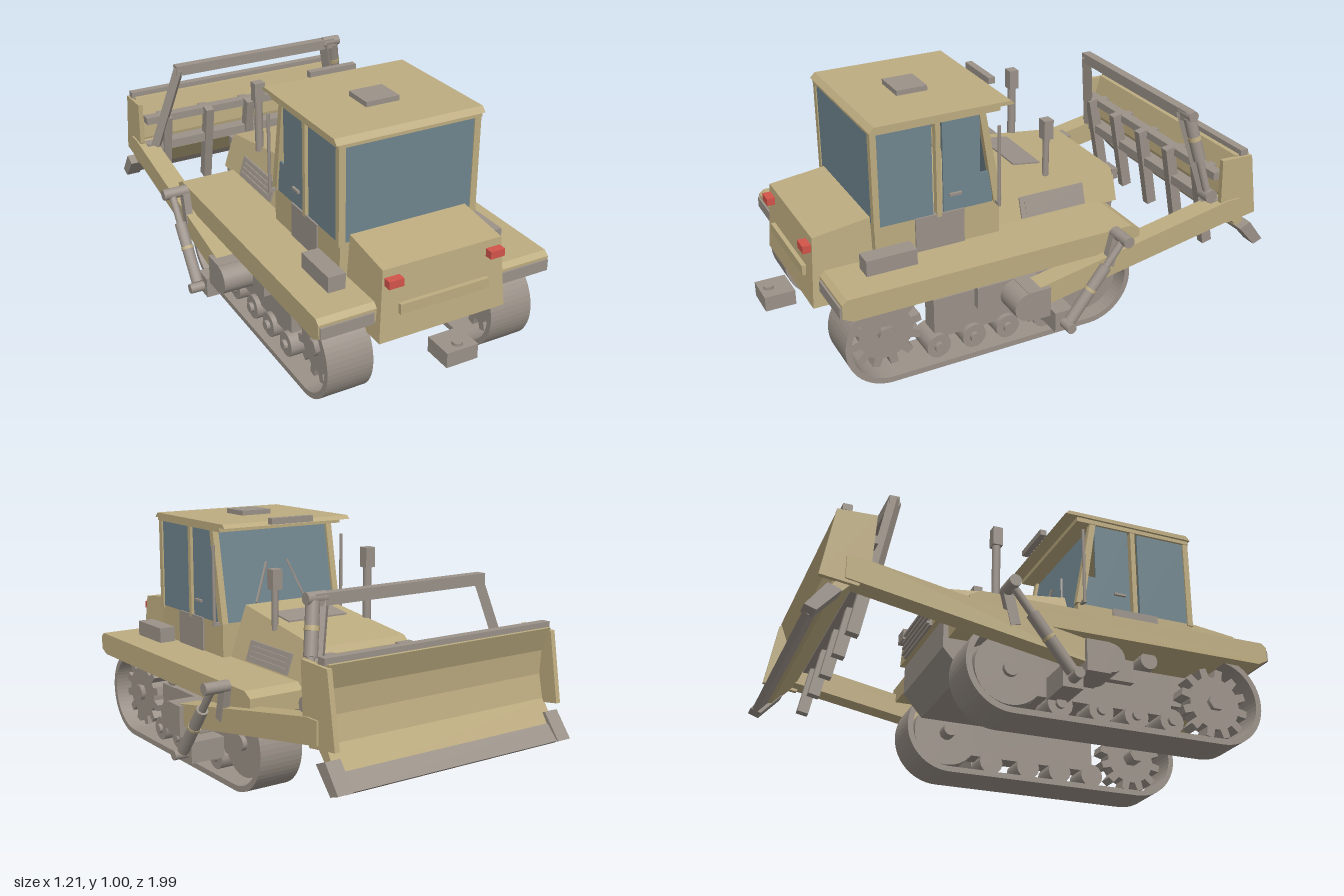
import * as THREE from 'three';

const mat = (name, color) => Object.assign(new THREE.MeshStandardMaterial({ color }), { name });

export function createModel() {
  const model = new THREE.Group();
  model.name = 'bulldozer';
  const tan = mat('tan paint', 0xbdac80), grey = mat('grey steel', 0x9b9289);
  const glass = mat('blue glass', 0x70858e), red = mat('red lamp', 0xd2544a);
  glass.side = THREE.DoubleSide;
  const V = (p) => new THREE.Vector3(...p);

  const add = (name, geo, m) => {
    const mesh = new THREE.Mesh(geo, m);
    mesh.name = name;
    model.add(mesh);
    return mesh;
  };
  // box given by its min and max on each axis
  const box = (name, m, x0, x1, y0, y1, z0, z1) =>
    add(name, new THREE.BoxGeometry(Math.abs(x1 - x0), y1 - y0, Math.abs(z1 - z0))
      .translate((x0 + x1) / 2, (y0 + y1) / 2, (z0 + z1) / 2), m);
  // side outline of [z, y] points (or a Shape) extruded across x
  const sideGeo = (outline, x0, x1) => {
    const shape = Array.isArray(outline) ? new THREE.Shape(outline.map((p) => new THREE.Vector2(...p))) : outline;
    const a = Math.min(x0, x1), b = Math.max(x0, x1);
    return new THREE.ExtrudeGeometry(shape, { depth: b - a, bevelEnabled: false, curveSegments: 14 })
      .rotateY(-Math.PI / 2).translate(b, 0, 0);
  };
  const side = (name, m, outline, x0, x1) => add(name, sideGeo(outline, x0, x1), m);
  // side outline whose half width runs from wLow at yLow to wHigh at yHigh
  const tapered = (name, m, outline, yLow, wLow, yHigh, wHigh) => {
    const geo = sideGeo(outline, -1, 1), p = geo.attributes.position;
    for (let i = 0; i < p.count; i++) {
      const t = (p.getY(i) - yLow) / (yHigh - yLow);
      p.setX(i, p.getX(i) * (wLow + (wHigh - wLow) * t));
    }
    geo.computeVertexNormals();
    return add(name, geo, m);
  };
  // square bar or round rod between two points
  const bar = (name, m, a, b, w, h = w) => {
    const A = V(a), B = V(b);
    const mesh = add(name, new THREE.BoxGeometry(w, h, A.distanceTo(B)), m);
    mesh.position.copy(A).lerp(B, 0.5);
    mesh.lookAt(B);
    return mesh;
  };
  const rod = (name, m, a, b, r, n = 12) => {
    const A = V(a), B = V(b);
    const mesh = add(name, new THREE.CylinderGeometry(r, r, A.distanceTo(B), n), m);
    mesh.position.copy(A).lerp(B, 0.5);
    mesh.quaternion.setFromUnitVectors(new THREE.Vector3(0, 1, 0), B.sub(A).normalize());
    return mesh;
  };
  const wheel = (name, m, x0, x1, y, z, r, n = 20) => rod(name, m, [x0, y, z], [x1, y, z], r, n);
  const both = (fn) => [-1, 1].forEach(fn);

  // belly, engine hood and rear body
  side('bellyHull', grey, [[0.6, 0.21], [0.62, 0.43], [-0.42, 0.43], [-0.42, 0.3], [-0.34, 0.21]], -0.25, 0.25);
  tapered('hood', tan, [[0.12, 0.42], [0.11, 0.64], [-0.42, 0.565], [-0.44, 0.54], [-0.44, 0.42]], 0.43, 0.25, 0.6, 0.195);
  tapered('sideGrille', grey, [[0, 0.44], [0, 0.52], [-0.29, 0.52], [-0.29, 0.44]], 0.43, 0.257, 0.6, 0.202);
  for (let i = 0; i < 3; i++) {
    const y = 0.455 + i * 0.02;
    tapered('sideLouver', grey, [[-0.02, y], [-0.02, y + 0.008], [-0.27, y + 0.008], [-0.27, y]], 0.43, 0.262, 0.6, 0.207);
  }
  side('hoodVent', grey, [[-0.02, 0.615], [-0.02, 0.628], [-0.14, 0.611], [-0.14, 0.598]], -0.14, 0.14);
  box('noseGrille', grey, -0.17, 0.17, 0.42, 0.53, -0.45, -0.44);
  for (let i = 0; i < 4; i++) box('noseSlat', grey, -0.165, 0.165, 0.43 + i * 0.026, 0.44 + i * 0.026, -0.46, -0.45);
  both((s) => box('headlamp', grey, s * 0.15, s * 0.22, 0.5, 0.545, -0.462, -0.435));
  tapered('rearBody', tan, [[0.6, 0.29], [0.875, 0.29], [0.855, 0.57], [0.62, 0.6]], 0.29, 0.265, 0.59, 0.245);
  box('rearPanel', tan, -0.185, 0.185, 0.39, 0.43, 0.86, 0.882);
  both((s) => box('tailLamp', red, s * 0.18, s * 0.24, 0.51, 0.54, 0.85, 0.89));
  box('hitch', grey, -0.065, 0.065, 0.2, 0.26, 0.88, 1);
  rod('hitchPin', grey, [0, 0.19, 0.965], [0, 0.272, 0.965], 0.02);
  box('drawbarMount', grey, -0.22, 0.22, 0.21, 0.275, 0.58, 0.66);

  // exhaust and intake stacks
  [[-0.2, -0.195, 0.88, 0.017], [0.2, -0.132, 0.82, 0.013]].forEach(([x, z, top, r]) => {
    rod('stack', grey, [x, 0.58, z], [x, top, z], r);
    box('stackCap', grey, x - 0.022, x + 0.022, top - 0.08, top, z - 0.02, z + 0.02);
  });

  // cab
  box('cabBase', tan, -0.285, 0.285, 0.42, 0.57, 0.12, 0.63);
  box('roof', tan, -0.295, 0.295, 0.94, 0.96, 0.12, 0.635);
  side('roofCap', tan, [[0.64, 0.955], [0.62, 0.975], [0.08, 0.975], [0.065, 0.96]], -0.305, 0.305);
  box('roofHatch', grey, -0.07, 0.07, 0.97, 0.995, 0.31, 0.435);
  box('roofLightBar', grey, -0.1, 0.1, 0.965, 0.99, 0.04, 0.068);
  box('rearWindow', glass, -0.27, 0.27, 0.57, 0.94, 0.622, 0.63);
  side('windshield', glass, [[0.128, 0.57], [0.2, 0.945], [0.192, 0.945], [0.12, 0.57]], -0.265, 0.265);
  both((s) => {
    const a = s * 0.265, b = s * 0.292;
    box('rearPillar', tan, a, b, 0.56, 0.95, 0.61, 0.634);
    box('middlePillar', tan, a, b, 0.56, 0.95, 0.362, 0.382);
    side('frontPillar', tan, [[0.11, 0.57], [0.18, 0.95], [0.205, 0.95], [0.145, 0.57]], a, b);
    box('rearSideWindow', glass, s * 0.277, s * 0.285, 0.57, 0.94, 0.395, 0.612);
    box('doorWindow', glass, s * 0.277, s * 0.285, 0.57, 0.94, 0.2, 0.352);
    box('doorLower', glass, s * 0.277, s * 0.285, 0.57, 0.7, 0.15, 0.2);
    box('doorHandle', grey, s * 0.285, s * 0.295, 0.635, 0.645, 0.28, 0.33);
    box('cabStep', grey, s * 0.2, s * 0.292, 0.43, 0.572, 0.27, 0.47);
    rod('mirrorPole', grey, [s * 0.315, 0.56, 0.135], [s * 0.315, 0.89, 0.135], 0.007, 8);
    bar('mirrorBracket', grey, [s * 0.27, 0.57, 0.135], [s * 0.32, 0.57, 0.135], 0.012);
    bar('wiper', grey, [s * 0.12, 0.64, 0.125], [s * 0.05, 0.8, 0.158], 0.008);
  });

  both((s) => {
    // fender
    side('fender', tan, [[0.84, 0.36], [0.84, 0.415], [0.82, 0.432], [-0.36, 0.432], [-0.4, 0.41], [-0.4, 0.34], [0.8, 0.34]], s * 0.22, s * 0.485);
    box('rearGuard', grey, s * 0.27, s * 0.48, 0.36, 0.405, 0.83, 0.848);
    box('toolBox', grey, s * 0.3, s * 0.37, 0.43, 0.495, 0.5, 0.7);

    // track loop, an oval band
    const oval = (path, r) => {
      path.absarc(0.64, 0.183, r, -Math.PI / 2, Math.PI / 2, false);
      path.absarc(-0.212, 0.183, r, Math.PI / 2, Math.PI * 1.5, false);
      path.closePath();
      return path;
    };
    const band = oval(new THREE.Shape(), 0.183);
    band.holes.push(oval(new THREE.Path(), 0.16));
    side('track', grey, band, s * 0.255, s * 0.44);

    // drive sprocket
    const gear = [];
    for (let i = 0; i < 12; i++) {
      [[0, 0.108], [0.3, 0.108], [0.4, 0.145], [0.8, 0.145], [0.9, 0.108]].forEach(([f, r]) => {
        const t = ((i + f) / 12) * Math.PI * 2;
        gear.push([0.645 + r * Math.cos(t), 0.187 + r * Math.sin(t)]);
      });
    }
    side('sprocket', grey, gear, s * 0.32, s * 0.39);
    wheel('sprocketHub', grey, s * 0.25, s * 0.41, 0.187, 0.645, 0.035, 6);
    // idler, rollers and their frame
    wheel('idler', grey, s * 0.31, s * 0.4, 0.183, -0.212, 0.137, 28);
    wheel('idlerHub', grey, s * 0.25, s * 0.42, 0.183, -0.212, 0.03);
    [0.44, 0.29, 0.145, -0.02].forEach((z) => {
      wheel('roadRoller', grey, s * 0.29, s * 0.41, 0.075, z, 0.05, 14);
      wheel('rollerHub', grey, s * 0.41, s * 0.425, 0.075, z, 0.02);
    });
    [0.36, 0.07].forEach((z) => wheel('topRoller', grey, s * 0.25, s * 0.4, 0.315, z, 0.036, 14));
    box('trackFrame', grey, s * 0.31, s * 0.39, 0.1, 0.27, -0.1, 0.45);
    box('frameCover', grey, s * 0.31, s * 0.42, 0.2, 0.29, 0.03, 0.28);

    // push arm with pivot and tilt cylinder
    side('pushArm', tan, [[0.12, 0.19], [0.12, 0.28], [-0.8, 0.45], [-0.86, 0.45], [-0.86, 0.365]], s * 0.44, s * 0.522);
    wheel('armPivot', grey, s * 0.38, s * 0.54, 0.23, 0.125, 0.058);
    box('pivotBracket', grey, s * 0.38, s * 0.54, 0.165, 0.29, 0.03, 0.125);
    box('cylinderMount', grey, s * 0.4, s * 0.545, 0.085, 0.17, -0.07, 0.01);
    const x = s * 0.565, lo = [x, 0.12, -0.03], hi = [x, 0.435, -0.272];
    const at = (t) => [x, lo[1] + (hi[1] - lo[1]) * t, lo[2] + (hi[2] - lo[2]) * t];
    rod('tiltBarrel', grey, at(0.05), at(0.68), 0.024);
    rod('tiltRod', grey, at(0.68), at(1), 0.015);
    rod('tiltBand', tan, at(0.4), at(0.43), 0.026);
    wheel('lowerPin', grey, s * 0.5, s * 0.603, lo[1], lo[2], 0.02);
    wheel('upperPin', grey, s * 0.5, s * 0.603, hi[1], hi[2], 0.023);
    bar('upperBracket', grey, [s * 0.51, 0.3, -0.24], [s * 0.51, 0.44, -0.272], 0.03, 0.04);

    // blade end plate and corner bit
    side('bladeEnd', tan, [[-0.76, 0.635], [-0.905, 0.63], [-0.95, 0.365], [-0.81, 0.345], [-0.77, 0.45]], s * 0.495, s * 0.515);
    side('cornerBit', grey, [[-0.92, 0.33], [-0.87, 0.31], [-0.95, 0.22], [-0.992, 0.235]], s * 0.47, s * 0.532);

    // sloping posts of the lift frame
    bar('liftPost', grey, [s * 0.355, 0.81, -0.66], [s * 0.45, 0.44, -0.745], 0.036);
  });

  // blade: curved plate, top bar and cutting edge
  const face = [[-0.9, 0.64], [-0.865, 0.55], [-0.86, 0.46], [-0.88, 0.37], [-0.95, 0.26]];
  const back = [[-0.91, 0.27], [-0.82, 0.37], [-0.8, 0.46], [-0.805, 0.55], [-0.83, 0.64]];
  side('blade', tan, [...face, ...back], -0.5, 0.5);
  box('bladeTopBar', grey, -0.51, 0.51, 0.635, 0.66, -0.885, -0.85);
  side('cuttingEdge', grey, [[-0.935, 0.29], [-0.915, 0.28], [-0.965, 0.222], [-0.985, 0.235]], -0.48, 0.48);

  // rack behind the blade with five ribs
  box('upperBeam', grey, -0.485, 0.485, 0.54, 0.572, -0.79, -0.745);
  box('lowerBeam', grey, -0.49, 0.49, 0.41, 0.448, -0.8, -0.74);
  for (let i = -2; i <= 2; i++) {
    bar('rib', grey, [i * 0.2, 0.575, -0.725], [i * 0.2, 0.215, -0.797], 0.036, 0.045);
    box('ribTie', grey, i * 0.2 - 0.018, i * 0.2 + 0.018, 0.545, 0.57, -0.82, -0.71);
  }

  // lift frame top bar and the single hydraulic cylinder
  box('liftTopBar', grey, -0.37, 0.4, 0.782, 0.825, -0.685, -0.645);
  const top = [0.4, 0.8, -0.665], mid = [0.437, 0.62, -0.705], low = [0.468, 0.46, -0.74];
  rod('liftBarrel', grey, mid, top, 0.025);
  rod('liftRod', grey, low, mid, 0.016);
  rod('liftBand', tan, [0.416, 0.72, -0.683], [0.42, 0.703, -0.687], 0.027);
  wheel('liftPin', grey, 0.35, 0.43, 0.81, -0.665, 0.022);
  wheel('liftFoot', grey, 0.43, 0.49, 0.47, -0.74, 0.028);

  return model;
}
